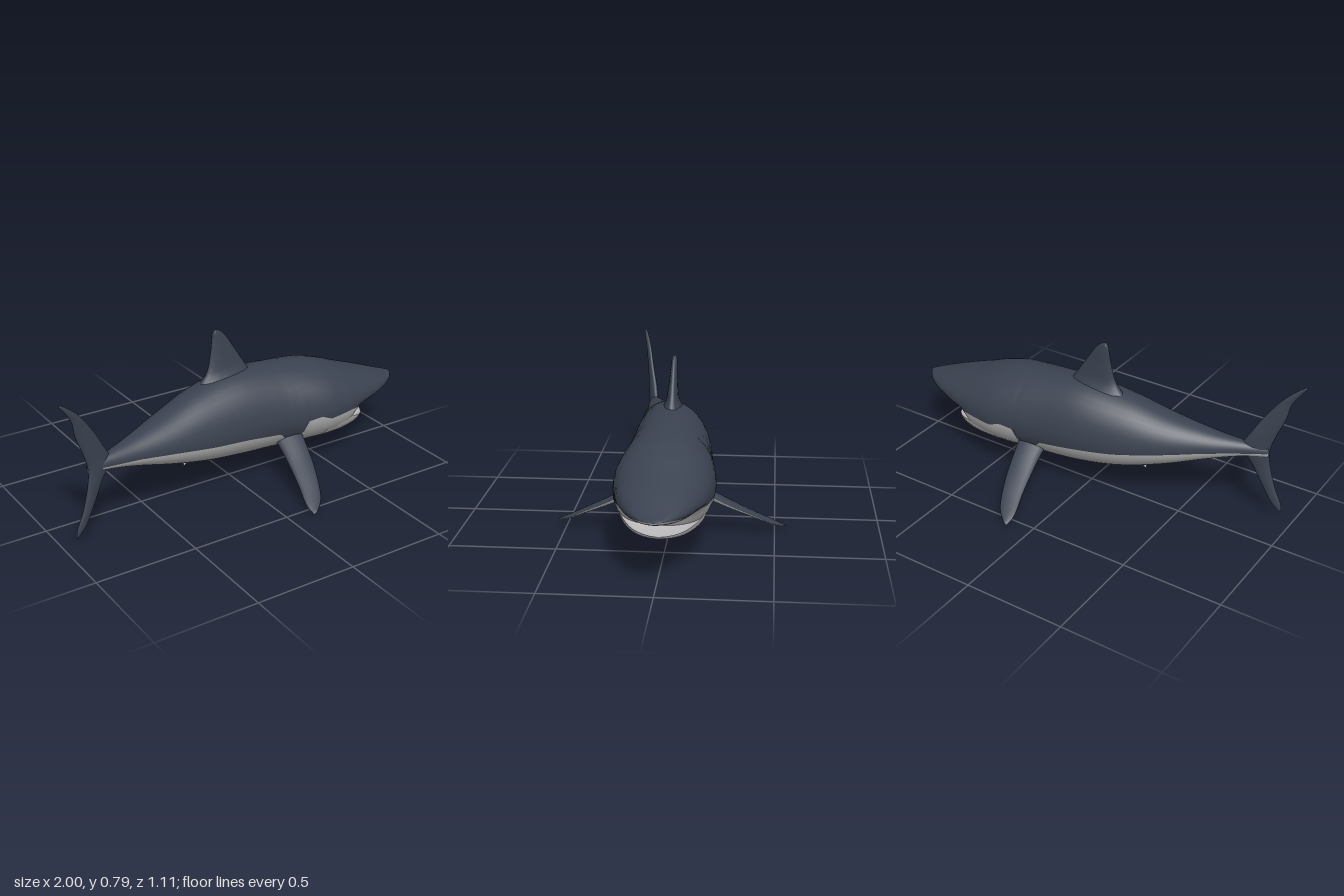
import * as THREE from 'three';

const V = (x, y, z) => new THREE.Vector3(x, y, z);

// Linear lookup in rows of [x, ...values]
function linear(rows, x) {
  let i = 0;
  while (i < rows.length - 2 && x > rows[i + 1][0]) i++;
  const a = rows[i], b = rows[i + 1], t = (x - a[0]) / (b[0] - a[0]);
  return a.map((v, k) => v + (b[k] - v) * t);
}

// Smooth (Hermite) lookup in the same kind of rows
function smooth(rows, x) {
  let i = 0;
  while (i < rows.length - 2 && x > rows[i + 1][0]) i++;
  const a = rows[i], b = rows[i + 1], h = b[0] - a[0], t = (x - a[0]) / h;
  const slope = (j, k) => {
    const p = rows[Math.max(j - 1, 0)], q = rows[Math.min(j + 1, rows.length - 1)];
    return (q[k] - p[k]) / (q[0] - p[0]);
  };
  return a.map((v, k) =>
    v * (2 * t ** 3 - 3 * t * t + 1) + b[k] * (3 * t * t - 2 * t ** 3) +
    h * (slope(i, k) * (t ** 3 - 2 * t * t + t) + slope(i + 1, k) * (t ** 3 - t * t)));
}

// Closed skin over rings; the first half of each ring takes materials[0], the rest materials[1]
function loft(name, rings, materials) {
  const n = rings[0].length, pos = [], parts = [[], []];
  rings.forEach(r => r.forEach(p => pos.push(p.x, p.y, p.z)));
  const caps = [0, rings.length - 1].map(i => {
    const c = V(0, 0, 0);
    rings[i].forEach(p => c.addScaledVector(p, 1 / n));
    pos.push(c.x, c.y, c.z);
    return pos.length / 3 - 1;
  });
  for (let j = 0; j < n; j++) {
    const k = (j + 1) % n, out = parts[j < n / 2 ? 0 : 1], e = (rings.length - 1) * n;
    for (let o = 0; o < e; o += n) out.push(o + j, o + k, o + n + j, o + k, o + n + k, o + n + j);
    out.push(caps[0], k, j, caps[1], e + j, e + k);
  }
  // Turn the faces outward using the signed volume
  const at = i => V(pos[3 * i], pos[3 * i + 1], pos[3 * i + 2]);
  let index = [...parts[0], ...parts[1]], volume = 0;
  for (let i = 0; i < index.length; i += 3)
    volume += at(index[i]).dot(at(index[i + 1]).cross(at(index[i + 2])));
  if (volume < 0)
    for (let i = 0; i < index.length; i += 3) [index[i + 1], index[i + 2]] = [index[i + 2], index[i + 1]];
  const geo = new THREE.BufferGeometry();
  geo.setAttribute('position', new THREE.Float32BufferAttribute(pos, 3));
  geo.setIndex(index);
  geo.addGroup(0, parts[0].length, 0);
  geo.addGroup(parts[0].length, parts[1].length, 1);
  geo.computeVertexNormals();
  const mesh = new THREE.Mesh(geo, materials);
  mesh.name = name;
  return mesh;
}

// Egg-shaped section from row [x, top, bottom, widest height, centre z, half width], parted at height split
function section([x, top, bottom, mid, zc, w], split, half = 20) {
  const r = (split - mid) / (split > mid ? top - mid : mid - bottom);
  const s = Math.asin(THREE.MathUtils.clamp(r, -0.95, 0.95));
  return Array.from({ length: half * 2 }, (_, i) => {
    const a = i < half ? s + (Math.PI - 2 * s) * i / half
      : Math.PI - s + (Math.PI + 2 * s) * (i - half) / half;
    const sin = Math.sin(a);
    return V(x, mid + (sin > 0 ? top - mid : mid - bottom) * sin, zc + w * Math.cos(a));
  });
}

// Fin with lens sections between a leading and a trailing curve
function fin(name, lead, trail, thickness, normal, materials, steps = 18) {
  const a = new THREE.CatmullRomCurve3(lead.map(p => V(...p)));
  const b = new THREE.CatmullRomCurve3(trail.map(p => V(...p)));
  const rings = [];
  for (let i = 0; i <= steps; i++) {
    const p = a.getPoint(i / steps), q = b.getPoint(i / steps);
    const c = p.clone().add(q).multiplyScalar(0.5), h = p.clone().sub(q).multiplyScalar(0.5);
    const f = i / steps * (thickness.length - 1), k = Math.min(Math.floor(f), thickness.length - 2);
    const t = THREE.MathUtils.lerp(thickness[k], thickness[k + 1], f - k) / 2;
    rings.push(Array.from({ length: 16 }, (_, j) => {
      const w = j / 16 * Math.PI * 2;
      return c.clone().addScaledVector(h, Math.cos(w)).addScaledVector(normal, t * Math.sin(w));
    }));
  }
  return loft(name, rings, materials);
}

export function createModel() {
  const material = (name, color) => Object.assign(new THREE.MeshStandardMaterial({ color }), { name });
  const slate = material('slate back', 0x3b4250);
  const pale = material('pale belly', 0xb0b0b0);
  const inner = material('mouth lining', 0xbebcbe);
  const model = new THREE.Group();
  model.name = 'shark';

  // Body: x, top, bottom, widest height, centre z, half width
  const body = [
    [-0.86, 0.395, 0.35, 0.37, 0.185, 0.012], [-0.75, 0.412, 0.335, 0.37, 0.158, 0.038],
    [-0.6, 0.435, 0.295, 0.36, 0.118, 0.078], [-0.4, 0.482, 0.228, 0.345, 0.068, 0.133],
    [-0.2, 0.54, 0.175, 0.33, 0.03, 0.17], [0, 0.575, 0.145, 0.33, 0.007, 0.193],
    [0.2, 0.567, 0.132, 0.325, 0, 0.207], [0.45, 0.535, 0.122, 0.325, 0, 0.233],
    [0.58, 0.496, 0.13, 0.325, 0, 0.223], [0.62, 0.48, 0.15, 0.326, 0, 0.215],
    [0.67, 0.46, 0.245, 0.328, 0, 0.204], [0.72, 0.442, 0.262, 0.33, 0, 0.19],
    [0.85, 0.395, 0.278, 0.332, 0, 0.137], [0.95, 0.356, 0.308, 0.334, 0, 0.075],
    [1, 0.342, 0.328, 0.335, 0, 0.02],
  ];
  // Height of the colour line along the flank
  const line = [
    [-0.86, 0.37], [-0.6, 0.352], [-0.4, 0.328], [-0.2, 0.3], [0, 0.283], [0.18, 0.262], [0.24, 0.2],
    [0.3, 0.21], [0.33, 0.305], [0.4, 0.315], [0.46, 0.29], [0.6, 0.3], [0.72, 0.287], [0.85, 0.308],
    [0.95, 0.33], [1, 0.336],
  ];
  const rings = [];
  for (let i = 0; i <= 100; i++) {
    const x = -0.86 + 1.86 * i / 100;
    rings.push(section(smooth(body, x), linear(line, x)[1]));
  }
  model.add(loft('body', rings, [slate, pale]));

  // Lower jaw with a sunken floor
  const jaw = [
    [0.46, 0.21, 0.13, 0.24, 0, 0.2], [0.58, 0.2, 0.128, 0.25, 0, 0.198],
    [0.66, 0.19, 0.142, 0.235, 0, 0.172], [0.72, 0.188, 0.16, 0.212, 0, 0.13],
    [0.76, 0.188, 0.174, 0.202, 0, 0.085], [0.785, 0.192, 0.185, 0.197, 0, 0.035],
  ];
  const jawRings = [];
  for (let i = 0; i <= 20; i++) {
    const row = smooth(jaw, 0.46 + 0.325 * i / 20);
    jawRings.push(section(row, row[3]));
  }
  model.add(loft('lowerJaw', jawRings, [inner, pale]));

  // Dorsal fin
  model.add(fin('dorsalFin',
    [[0.13, 0.54, 0], [0.085, 0.605, 0], [0.03, 0.69, 0], [-0.025, 0.77, 0], [-0.055, 0.797, 0], [-0.07, 0.8, 0]],
    [[-0.2, 0.51, 0.01], [-0.135, 0.59, 0.01], [-0.108, 0.68, 0.005], [-0.095, 0.76, 0], [-0.09, 0.785, 0], [-0.08, 0.8, 0]],
    [0.13, 0.06, 0.04, 0.03, 0.024, 0.018], V(0, 0, 1), [slate, slate]));

  // Tail fin, from lower tip to upper tip
  model.add(fin('tailFin',
    [[-0.93, 0.062, 0.2], [-0.89, 0.1, 0.195], [-0.84, 0.19, 0.185], [-0.785, 0.3, 0.17], [-0.735, 0.38, 0.155],
      [-0.775, 0.47, 0.165], [-0.83, 0.565, 0.185], [-0.9, 0.66, 0.205], [-0.965, 0.72, 0.225], [-0.995, 0.74, 0.235]],
    [[-0.942, 0.058, 0.208], [-0.94, 0.09, 0.208], [-0.905, 0.17, 0.205], [-0.873, 0.28, 0.2], [-0.862, 0.37, 0.195],
      [-0.885, 0.46, 0.2], [-0.923, 0.56, 0.21], [-0.94, 0.64, 0.22], [-0.98, 0.705, 0.235], [-1, 0.732, 0.24]],
    [0.01, 0.018, 0.026, 0.034, 0.045, 0.04, 0.03, 0.024, 0.018, 0.012], V(0.4, 0, 0.92), [slate, slate], 40));

  for (const s of [1, -1]) {
    const side = s > 0 ? 'left' : 'right';
    // Pectoral fins, dark above and pale below
    model.add(fin(side + 'PectoralFin',
      [[0.33, 0.26, 0.12 * s], [0.31, 0.215, 0.2 * s], [0.285, 0.158, 0.3 * s], [0.25, 0.105, 0.4 * s],
        [0.2, 0.045, 0.5 * s], [0.14, 0.018, 0.553 * s]],
      [[0.18, 0.225, 0.12 * s], [0.175, 0.185, 0.2 * s], [0.16, 0.135, 0.3 * s], [0.14, 0.085, 0.4 * s],
        [0.115, 0.035, 0.5 * s], [0.12, 0.01, 0.553 * s]],
      [0.06, 0.05, 0.036, 0.026, 0.018, 0.01], V(0, 0.88, 0.47 * s), [slate, pale]));
    // Small pelvic fins
    model.add(fin(side + 'PelvicFin',
      [[-0.25, 0.225, 0.045 + 0.03 * s], [-0.28, 0.2, 0.045 + 0.035 * s], [-0.305, 0.188, 0.045 + 0.04 * s]],
      [[-0.32, 0.225, 0.045 + 0.03 * s], [-0.312, 0.205, 0.045 + 0.035 * s], [-0.312, 0.188, 0.045 + 0.04 * s]],
      [0.02, 0.012, 0.006], V(0, 0, 1), [pale, pale], 8));
  }
  return model;
}
